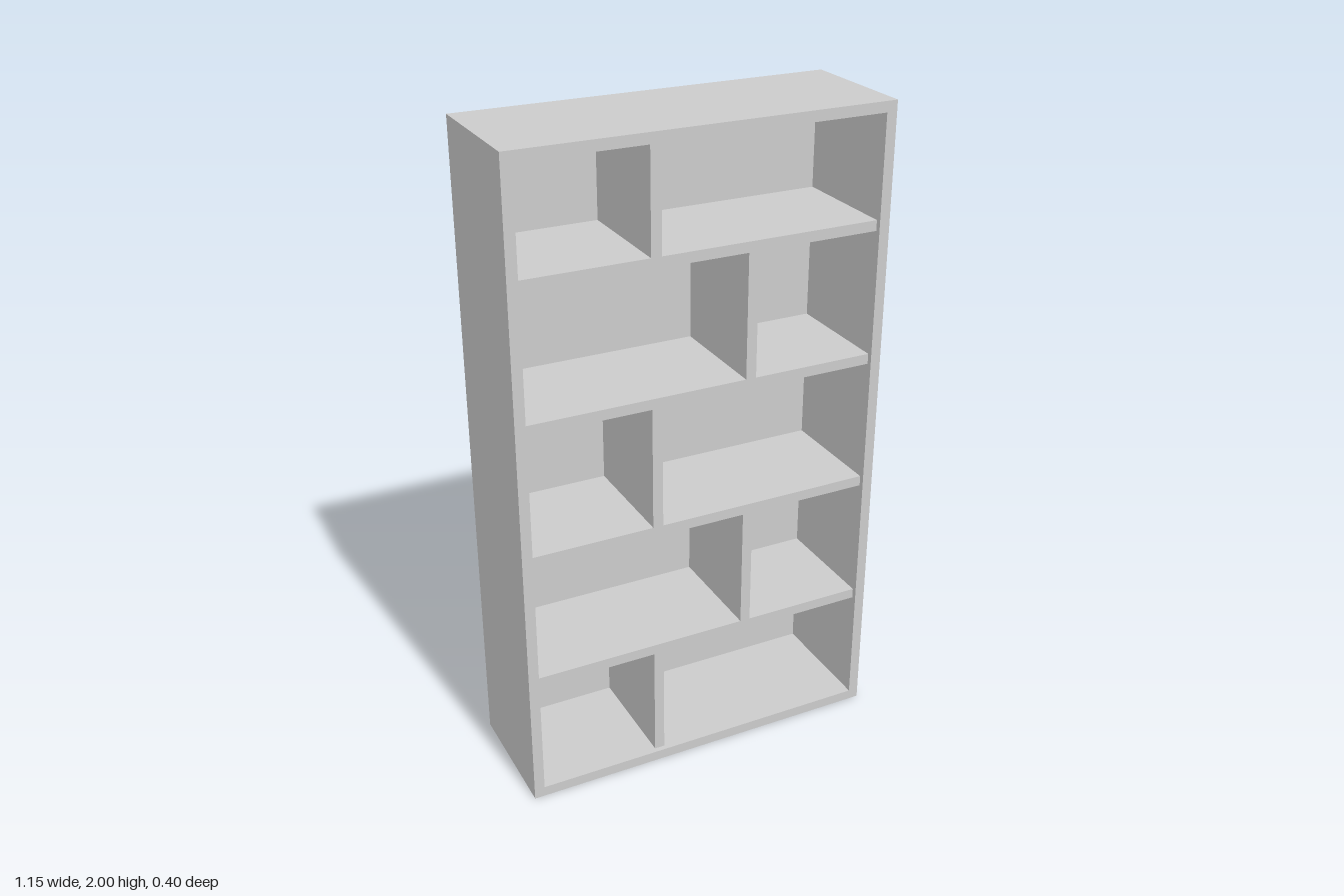
import * as THREE from 'three';

const W = 1.15, H = 2, D = 0.4;   // outer size
const T = 0.032;                  // board thickness
const RECESS = 0.016;             // shelves sit slightly behind the frame edge
const INNER = W - 2 * T;

export function createModel() {
  const group = new THREE.Group();
  group.name = 'bookcase';
  const material = new THREE.MeshStandardMaterial({ color: 0xcccccc });

  const add = (name, geometry, x, y, z) => {
    const mesh = new THREE.Mesh(geometry, material);
    mesh.name = name;
    mesh.position.set(x, y, z);
    group.add(mesh);
  };
  const rect = (path, x, y) =>
    path.moveTo(-x, -y).lineTo(x, -y).lineTo(x, y).lineTo(-x, y).closePath();

  // Outer frame: top, bottom and sides in one piece
  const outline = new THREE.Shape();
  rect(outline, W / 2, H / 2);
  const opening = new THREE.Path();
  rect(opening, INNER / 2, H / 2 - T);
  outline.holes.push(opening);
  add('frame', new THREE.ExtrudeGeometry(outline, { depth: D, bevelEnabled: false }), 0, H / 2, -D / 2);

  // Back panel closing the frame
  add('backPanel', new THREE.BoxGeometry(INNER, H - 2 * T, T), 0, H / 2, -D / 2 + T / 2);

  // Shelves
  const depth = D - T - RECESS;
  const z = (T - RECESS) / 2;
  const shelfY = [0.407, 0.819, 1.23, 1.642];
  shelfY.forEach((y, i) =>
    add(`shelf${i + 1}`, new THREE.BoxGeometry(INNER, T, depth), 0, y, z));

  // Upright dividers, alternating sides from row to row
  const levels = [T / 2, ...shelfY, H - T / 2];
  for (let i = 0; i < levels.length - 1; i++) {
    const low = levels[i] + T / 2, high = levels[i + 1] - T / 2;
    add(`divider${i + 1}`, new THREE.BoxGeometry(T, high - low, depth),
      i % 2 ? 0.148 : -0.148, (low + high) / 2, z);
  }
  return group;
}
